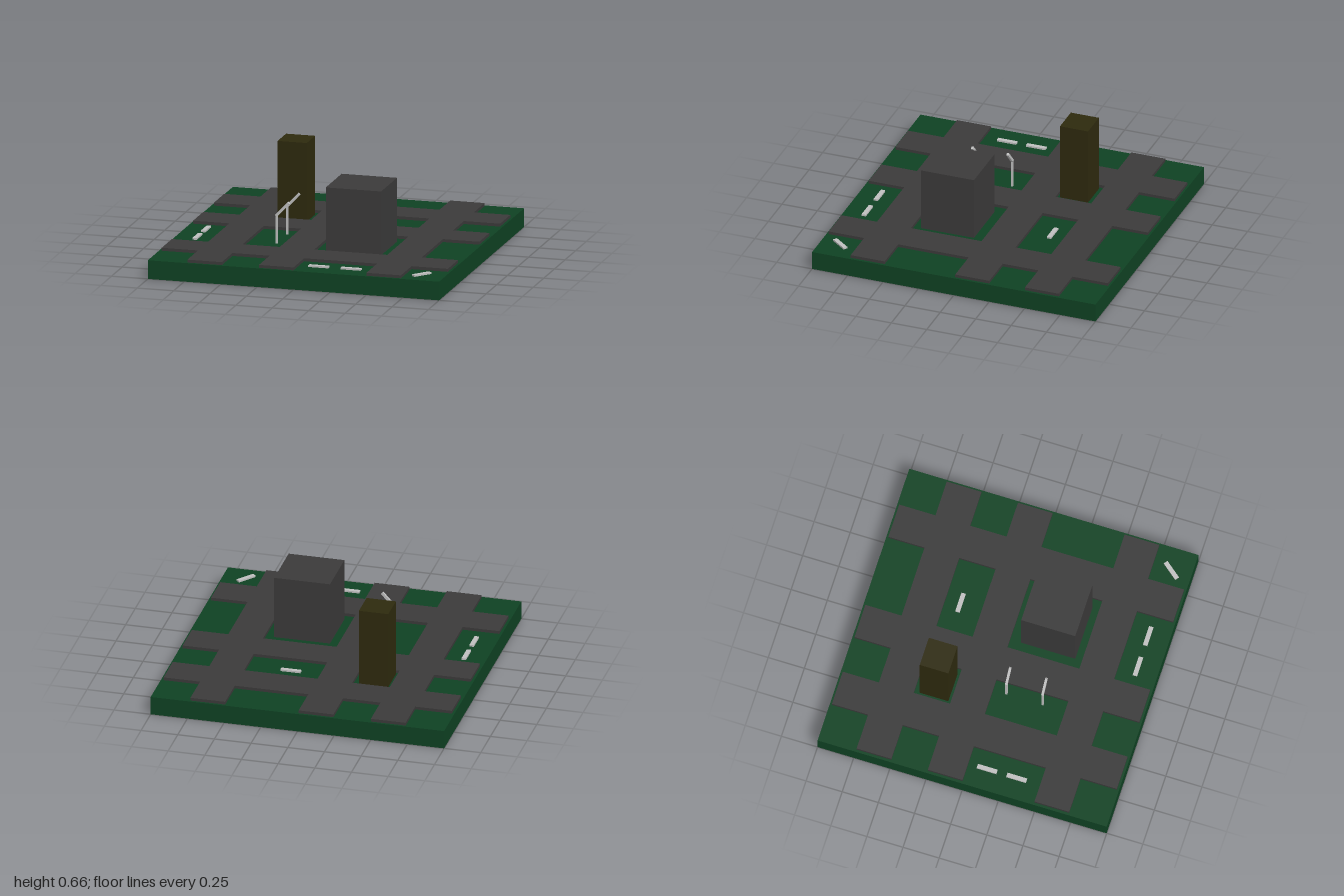
import * as THREE from 'three';

const mat = (name, color) => {
  const m = new THREE.MeshStandardMaterial({ color });
  m.name = name;
  return m;
};

export function createModel() {
  const city = new THREE.Group();
  city.name = 'cityBlock';
  const grass = mat('grassGreen', 0x0f4223);
  const asphalt = mat('asphaltGrey', 0x3b3a3a);
  const brown = mat('darkBrown', 0x2e2a0e);
  const metal = mat('lightGrey', 0xc0c0c0);
  const GROUND = 0.127, ROAD_TOP = 0.147;

  // Box standing with its underside at y
  const box = (name, material, w, h, d, x, y, z, parent = city) => {
    const mesh = new THREE.Mesh(new THREE.BoxGeometry(w, h, d), material);
    mesh.name = name;
    mesh.position.set(x, y + h / 2, z);
    parent.add(mesh);
    return mesh;
  };

  // Ground slab
  box('ground', grass, 2, GROUND, 2, 0, 0, 0);

  // Three streets each way
  for (const c of [-0.615, -0.123, 0.615]) {
    box('streetAlongZ', asphalt, 0.237, ROAD_TOP - GROUND, 1.97, c, GROUND, 0);
    box('streetAlongX', asphalt, 1.965, ROAD_TOP - GROUND, 0.24, 0, GROUND, c);
  }

  // Buildings
  box('tower', brown, 0.2, 0.663 - GROUND, 0.198, -0.377, GROUND, -0.36);
  box('cubeBuilding', asphalt, 0.38, 0.562 - GROUND, 0.374, 0.25, GROUND, 0.259);

  // Low benches: x, z, turn
  const benches = [
    [-0.855, 0.127, Math.PI / 2], [-0.855, 0.332, Math.PI / 2], [0.204, -0.393, 0],
    [0.132, 0.857, 0], [0.355, 0.857, 0], [0.84, 0.863, 0.89],
  ];
  for (const [x, z, turn] of benches) {
    box('bench', metal, 0.136, 0.012, 0.03, x, GROUND, z).rotation.y = turn;
  }

  // Street lamps with a slanted arm over the road
  for (const z of [0.088, 0.338]) {
    const lamp = new THREE.Group();
    lamp.name = 'streetLamp';
    lamp.position.set(-0.309, GROUND, z);
    box('lampPole', metal, 0.014, 0.19, 0.014, 0, 0, 0, lamp);
    const arm = box('lampArm', metal, 0.128, 0.018, 0.016, 0.04, 0.226, 0, lamp);
    arm.rotation.z = 0.83;
    city.add(lamp);
  }
  return city;
}
